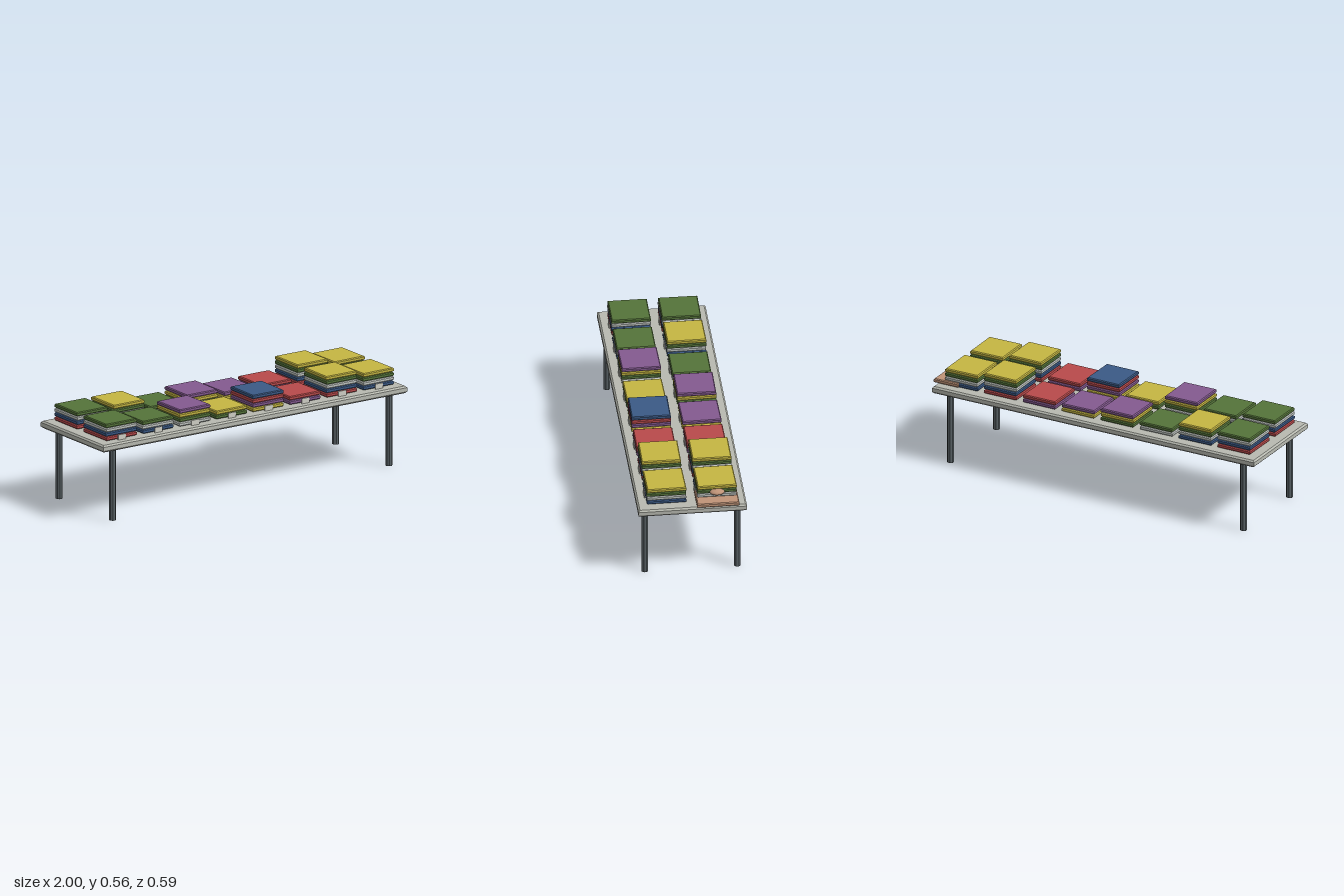
import * as THREE from 'three';

const mat = (name, color) => new THREE.MeshStandardMaterial({ name, color });

// Box with chamfered top and bottom rims, standing on y = 0
function chamferBox(w, h, d, c) {
  const x = w / 2 - c, z = d / 2 - c;
  const s = new THREE.Shape([
    new THREE.Vector2(-x, -z), new THREE.Vector2(x, -z),
    new THREE.Vector2(x, z), new THREE.Vector2(-x, z),
  ]);
  const g = new THREE.ExtrudeGeometry(s, {
    depth: h - 2 * c, bevelEnabled: true, bevelSegments: 1, bevelSize: c, bevelThickness: c,
  });
  return g.translate(0, 0, c).rotateX(-Math.PI / 2);
}

export function createModel() {
  const model = new THREE.Group();
  model.name = 'stallTable';

  const red = mat('red', 0xb84a4b), blue = mat('blue', 0x3b5a86);
  const white = mat('pale grey', 0xc0c5c1), green = mat('green', 0x55743a);
  const yellow = mat('yellow', 0xc5b642), purple = mat('purple', 0x845a90);
  const tableGrey = mat('table grey', 0xb8bab1), steel = mat('steel', 0x5a6367);
  const skin = mat('tan', 0xc09478), card = mat('card', 0xd0d0c6);

  const add = (parent, name, geometry, material, x, y, z) => {
    const m = new THREE.Mesh(geometry, material);
    m.name = name;
    m.position.set(x, y, z);
    parent.add(m);
    return m;
  };

  // Table top and four octagonal legs
  add(model, 'tableTop', chamferBox(1.986, 0.04, 0.586, 0.009), tableGrey, -0.006, 0.398, 0);
  const legGeo = new THREE.CylinderGeometry(0.019, 0.019, 0.402, 8).toNonIndexed();
  legGeo.rotateY(Math.PI / 8);
  legGeo.computeVertexNormals();
  for (const x of [-0.909, 0.897])
    for (const z of [-0.249, 0.249]) add(model, 'leg', legGeo, steel, x, 0.201, z);

  // Folded cloth stacks: colours run through the cycle, starting one later per column
  const cycle = [red, blue, white, green, yellow, purple];
  const frontCounts = [4, 3, 4, 2, 4, 2, 5, 4];
  const backCounts = [4, 4, 2, 3, 2, 2, 5, 4];
  const clothGeo = chamferBox(0.2, 0.022, 0.212, 0.005);
  const tagGeo = new THREE.BoxGeometry(0.05, 0.03, 0.005);
  for (const [counts, z] of [[frontCounts, 0.136], [backCounts, -0.136]]) {
    counts.forEach((count, i) => {
      const stack = new THREE.Group();
      stack.name = 'foldedStack';
      stack.position.set(-0.845 + i * 0.24, 0.443, z);
      for (let k = 0; k < count; k++) {
        const cloth = add(stack, 'foldedCloth', clothGeo, cycle[(i + k) % 6], 0, k * 0.0238, 0);
        cloth.rotation.y = 0.012 * Math.sin(i * 5.1 + k * 2.3 + z * 20);
      }
      // Small price card leaning on the stack front
      add(stack, 'priceCard', tagGeo, card, 0, 0.009, 0.1095);
      model.add(stack);
    });
  }

  // Tan folded piece under the end stack, with a flattened oval beside it
  add(model, 'endPad', chamferBox(0.152, 0.023, 0.228, 0.005), skin, 0.924, 0.443, -0.136);
  const oval = add(model, 'endOval', new THREE.SphereGeometry(1, 20, 12), skin, 0.933, 0.5, -0.136);
  oval.scale.set(0.031, 0.016, 0.041);

  return model;
}
